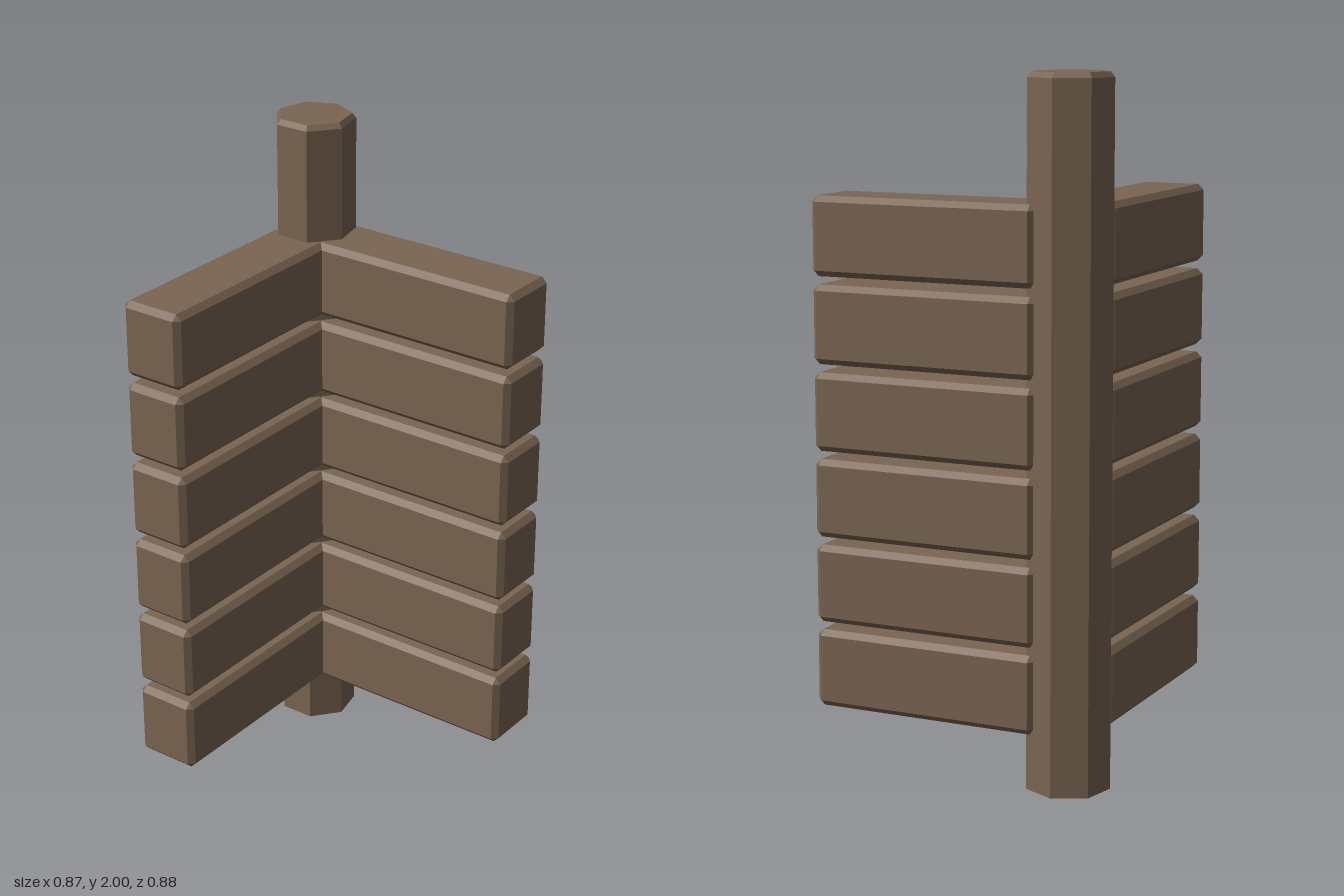
import * as THREE from 'three';
import { ConvexGeometry } from 'three/addons/geometries/ConvexGeometry.js';

// Box with every edge and corner chamfered by c
function chamferedBox(w, h, d, c) {
  const points = [];
  for (const sx of [-1, 1]) for (const sy of [-1, 1]) for (const sz of [-1, 1]) {
    const x = w / 2, y = h / 2, z = d / 2;
    points.push(
      new THREE.Vector3(sx * x, sy * (y - c), sz * (z - c)),
      new THREE.Vector3(sx * (x - c), sy * y, sz * (z - c)),
      new THREE.Vector3(sx * (x - c), sy * (y - c), sz * z)
    );
  }
  return new ConvexGeometry(points);
}

export function createModel() {
  const model = new THREE.Group();
  model.name = 'cornerFence';
  const wood = new THREE.MeshStandardMaterial({ color: 0x7a6552 });
  wood.name = 'brown wood';

  // Seven-sided corner post with a small chamfer round the top
  const profile = [[0, 0], [0.121, 0], [0.121, 1.985], [0.109, 2], [0, 2]]
    .map(([r, y]) => new THREE.Vector2(r, y));
  const postGeometry = new THREE.LatheGeometry(profile, 7, Math.PI).toNonIndexed();
  postGeometry.computeVertexNormals();
  const post = new THREE.Mesh(postGeometry, wood);
  post.name = 'cornerPost';
  post.position.set(-0.319, 0, -0.319);
  model.add(post);

  // Two wings of stacked planks meeting at the post
  const start = -0.255, end = 0.437, middle = (start + end) / 2;
  const plank = chamferedBox(end - start, 0.228, 0.2, 0.017);
  const backWing = new THREE.Group();
  backWing.name = 'backWing';
  const sideWing = new THREE.Group();
  sideWing.name = 'sideWing';
  for (let i = 0; i < 6; i++) {
    const y = 0.277 + 0.251 * i;

    const backPlank = new THREE.Mesh(plank, wood);
    backPlank.name = `backPlank${i + 1}`;
    backPlank.position.set(middle, y, -0.32);
    backWing.add(backPlank);

    const sidePlank = new THREE.Mesh(plank, wood);
    sidePlank.name = `sidePlank${i + 1}`;
    sidePlank.position.set(-0.32, y, middle);
    sidePlank.rotation.y = Math.PI / 2;
    sideWing.add(sidePlank);
  }
  model.add(backWing, sideWing);
  return model;
}
